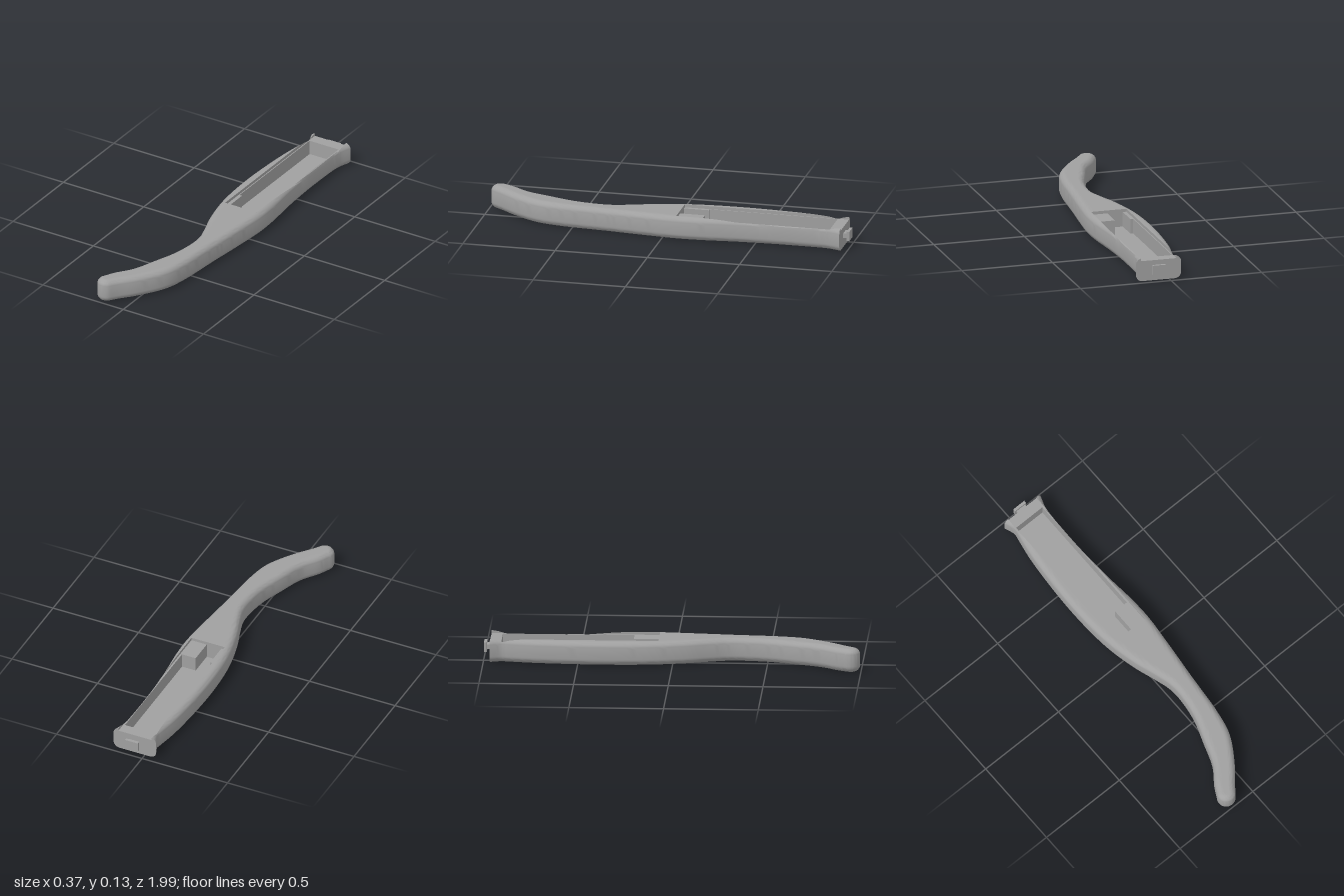
import * as THREE from 'three';
import { toCreasedNormals } from 'three/addons/utils/BufferGeometryUtils.js';

const H = 0.126, ROUND = 0.035;      // body thickness and edge rounding
const LEDGE = 0.11, FLOOR = 0.03;    // heights of the cover recess and the pocket floor
const ARC = 7, STEPS = 6, TIP = 12;

// Facing edge points of the handle: left x, left z, right x, right z
const EDGES = [
  [-0.066, -0.965, 0.183, -0.965], [-0.046, -0.905, 0.163, -0.905],
  [-0.053, -0.86, 0.157, -0.86], [-0.072, -0.75, 0.154, -0.75],
  [-0.086, -0.6, 0.154, -0.6], [-0.095, -0.4, 0.163, -0.4],
  [-0.09, -0.21, 0.18, -0.21], [-0.075, -0.075, 0.183, -0.075],
  [-0.04, 0.08, 0.17, 0.08], [0, 0.2, 0.158, 0.2],
  [0.025, 0.29, 0.147, 0.3], [0.028, 0.37, 0.137, 0.41],
  [0.01, 0.5, 0.122, 0.56], [-0.035, 0.635, 0.091, 0.7],
  [-0.085, 0.77, 0.005, 0.845], [-0.148, 0.86, -0.068, 0.935],
  [-0.177, 0.915, -0.097, 0.975],
];

// Columns across the cover recess, and their heights in each zone
const COLS = [-0.04, -0.04, -0.035, -0.035, -0.02, -0.02, 0.065, 0.065, 0.145, 0.145, 0.15, 0.155, 0.155];
const heights = (from, to) => COLS.map((_, i) =>
  i === 0 || i === COLS.length - 1 ? H : i >= from && i <= to ? FLOOR : LEDGE);
const ZONES = {
  ledge: heights(99, 0),
  pocket: heights(3, 8),
  shelf: heights(5, 6),     // shelf with an open slot in it
  closed: COLS.map(() => H),
};

// Rounded cross-section of half width w as [sideways, up]; zone cuts the recess
function section(w, centerX, zone) {
  const pts = [], flat = w - ROUND;
  const quarter = (f) => { for (let i = 0; i <= ARC; i++) f(i / ARC * Math.PI / 2); };
  const top = (s) => {
    const d = Math.min(ROUND, Math.max(0, Math.abs(s) - flat));
    return H - ROUND + Math.sqrt(ROUND * ROUND - d * d);
  };
  const cols = COLS.map((x, i) => zone
    ? Math.max(-w, Math.min(w, x - centerX))
    : flat * (2 * i / (COLS.length - 1) - 1));
  const first = cols[0], last = cols[cols.length - 1];
  quarter((a) => pts.push([-flat - ROUND * Math.cos(a), ROUND - ROUND * Math.sin(a)]));
  quarter((a) => pts.push([flat + ROUND * Math.sin(a), ROUND - ROUND * Math.cos(a)]));
  quarter((a) => {
    const s = Math.max(last, flat + ROUND * Math.cos(a));
    pts.push([s, top(s)]);
  });
  for (let i = cols.length - 1; i >= 0; i--) {
    pts.push([cols[i], Math.min(zone ? ZONES[zone][i] : H, top(cols[i]))]);
  }
  quarter((a) => {
    const s = Math.min(first, -flat - ROUND * Math.sin(a));
    pts.push([s, top(s)]);
  });
  return pts;
}

// Body lofted through its sections, then turned round at the tip
function bodyGeometry() {
  const curve = (k) => new THREE.CatmullRomCurve3(
    EDGES.map((e) => new THREE.Vector3(e[k], 0, e[k + 1])));
  const left = curve(0), right = curve(2), spans = EDGES.length - 1;
  const rings = [];
  const addRing = (t, zone, turn = 0) => {
    const l = left.getPoint(t), r = right.getPoint(t);
    const c = l.clone().add(r).multiplyScalar(0.5);
    const p = r.clone().sub(l), w = p.length() / 2;
    p.normalize();
    const cos = Math.cos(turn), sin = Math.sin(turn);
    rings.push(section(w, c.x, zone).map(([s, y]) => [
      c.x + p.x * s * cos - p.z * Math.abs(s) * sin,
      y,
      c.z + p.z * s * cos + p.x * Math.abs(s) * sin,
    ]));
  };
  for (let i = 0; i < spans; i++) {
    const zone = i === 0 ? 'ledge' : i < 6 ? 'pocket' : i === 6 ? 'shelf' : null;
    if (i === 7) addRing(i / spans, 'closed');
    for (let k = 0; k <= STEPS; k++) addRing((i + k / STEPS) / spans, zone);
  }
  for (let k = 1; k <= TIP; k++) addRing(1, null, k / TIP * Math.PI / 2);

  const n = rings[0].length, index = [];
  for (let i = 0; i < rings.length - 1; i++) {
    for (let j = 0; j < n; j++) {
      const a = i * n + j, b = i * n + (j + 1) % n;
      index.push(a, b, b + n, a, b + n, a + n);
    }
  }
  const geo = new THREE.BufferGeometry();
  geo.setAttribute('position', new THREE.Float32BufferAttribute(rings.flat(2), 3));
  geo.setIndex(index);
  return { geo: toCreasedNormals(geo, 0.6), end: rings[0] };
}

export function createModel() {
  const group = new THREE.Group();
  group.name = 'handle';
  const grey = new THREE.MeshStandardMaterial({ color: 0xa0a0a0 });
  grey.name = 'grey';
  const add = (name, geo) => {
    const mesh = new THREE.Mesh(geo, grey);
    mesh.name = name;
    group.add(mesh);
    return mesh;
  };

  const { geo, end } = bodyGeometry();
  add('body', geo);

  // Flat back end
  const outline = new THREE.Shape(end.map(([x, y]) => new THREE.Vector2(-x, y)));
  const plate = add('backEnd', new THREE.ShapeGeometry(outline));
  plate.rotation.y = Math.PI;
  plate.position.z = EDGES[0][1];

  // Locking tab: a narrow neck with a wider head
  add('tabNeck', new THREE.BoxGeometry(0.058, 0.024, 0.03)).position.set(0.0625, 0.064, -0.973);
  add('tabHead', new THREE.BoxGeometry(0.075, 0.052, 0.015)).position.set(0.0625, 0.064, -0.9925);
  return group;
}
